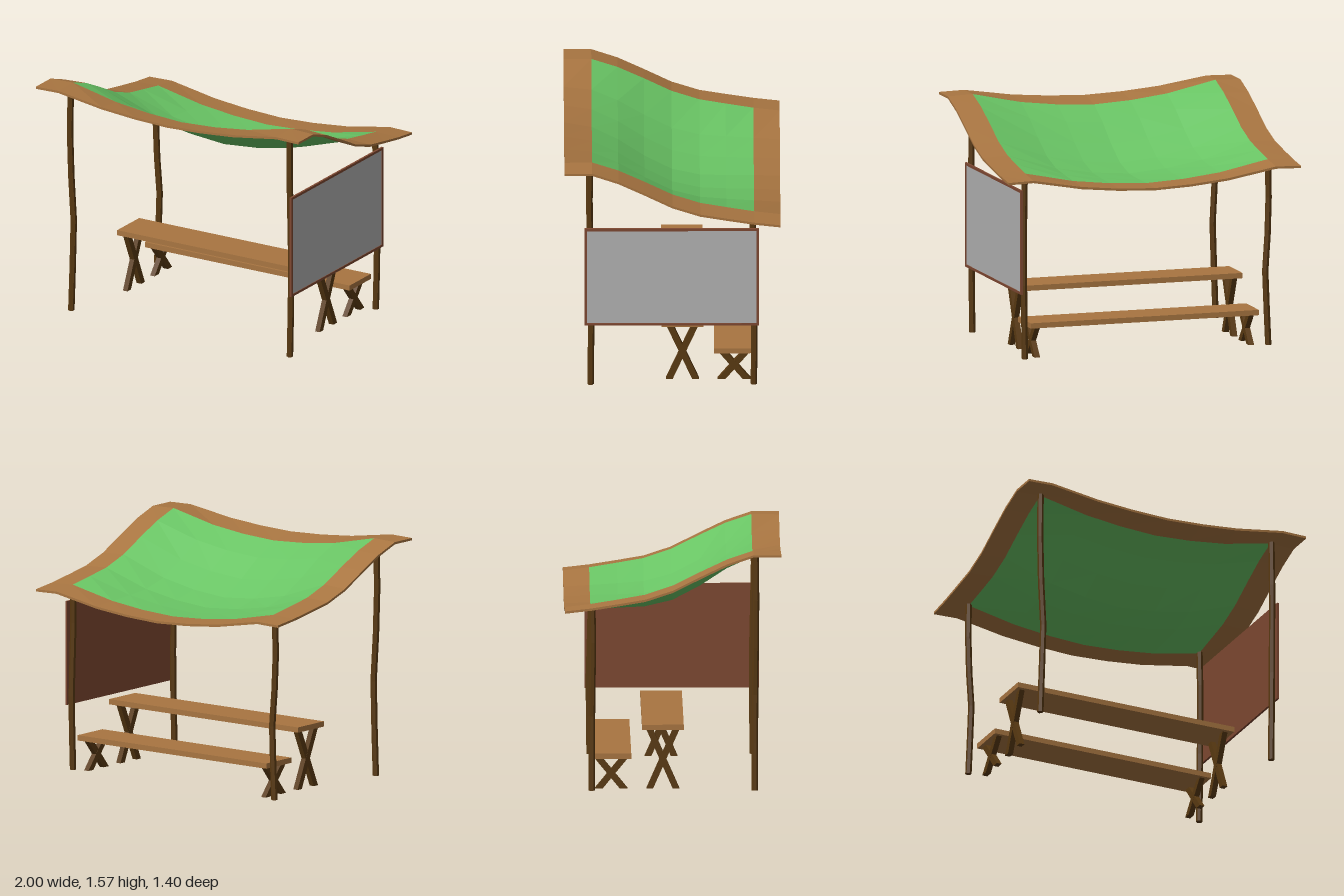
import * as THREE from 'three';

const mat = (name, color) => {
  const m = new THREE.MeshStandardMaterial({ color, flatShading: true });
  m.name = name;
  return m;
};

export function createModel() {
  const wood = mat('light wood', 0xa87541);
  const darkWood = mat('dark wood', 0x5a3a12);
  const cloth = mat('green cloth', 0x69c464);
  const frameWood = mat('red brown frame', 0x7e4831);
  const board = mat('grey board', 0xb2b2b2);

  const group = new THREE.Group();
  group.name = 'shelter';
  const add = (name, geometry, material, parent = group) => {
    const m = new THREE.Mesh(geometry, material);
    m.name = name;
    parent.add(m);
    return m;
  };
  const box = (name, material, [x0, x1], [y0, y1], [z0, z1], parent = group) => {
    const m = add(name, new THREE.BoxGeometry(x1 - x0, y1 - y0, z1 - z0), material, parent);
    m.position.set((x0 + x1) / 2, (y0 + y1) / 2, (z0 + z1) / 2);
    return m;
  };

  // Sagging canopy: side height and mid-span sag for each row, sag share for each column
  const rows = [ // z, side height, sag
    [-0.7, 1.2, 0.095], [-0.53, 1.22, 0.11], [-0.35, 1.25, 0.14], [-0.18, 1.28, 0.165],
    [0, 1.34, 0.185], [0.18, 1.43, 0.18], [0.35, 1.51, 0.145], [0.52, 1.567, 0.115], [0.7, 1.565, 0.08],
  ];
  const cols = [ // x, share of sag
    [-1, 0.05], [-0.83, 0], [-0.5, 0.62], [-0.25, 0.88], [0, 1],
    [0.25, 0.88], [0.5, 0.62], [0.83, 0], [1, 0.05],
  ];
  const thick = 0.015;
  const nx = cols.length - 1, nz = rows.length - 1;
  const point = (i, j, drop = 0) => [cols[i][0], rows[j][1] - rows[j][2] * cols[i][1] - drop, rows[j][0]];
  const quad = (out, a, b, c, d) => out.push(...a, ...b, ...c, ...a, ...c, ...d);
  const toGeometry = (positions) => {
    const g = new THREE.BufferGeometry();
    g.setAttribute('position', new THREE.Float32BufferAttribute(positions, 3));
    g.computeVertexNormals();
    return g;
  };
  const clothFaces = [], borderFaces = [];
  for (let i = 0; i < nx; i++) {
    for (let j = 0; j < nz; j++) {
      const edge = i === 0 || j === 0 || i === nx - 1 || j === nz - 1;
      const out = edge ? borderFaces : clothFaces;
      quad(out, point(i, j), point(i, j + 1), point(i + 1, j + 1), point(i + 1, j));
      quad(out, point(i, j, thick), point(i + 1, j, thick), point(i + 1, j + 1, thick), point(i, j + 1, thick));
    }
  }
  // Outer rim, walked around the perimeter
  const rim = (i0, j0, i1, j1) =>
    quad(borderFaces, point(i0, j0, thick), point(i1, j1, thick), point(i1, j1), point(i0, j0));
  for (let i = 0; i < nx; i++) {
    rim(i, nz, i + 1, nz);
    rim(i + 1, 0, i, 0);
  }
  for (let j = 0; j < nz; j++) {
    rim(nx, j + 1, nx, j);
    rim(0, j, 0, j + 1);
  }
  add('canopyCloth', toGeometry(clothFaces), cloth);
  add('canopyBorder', toGeometry(borderFaces), wood);

  // Crooked posts: sideways offsets at even steps from foot to top
  const post = (name, x, z, height, bends) => {
    const g = new THREE.CylinderGeometry(0.021, 0.021, height, 6, bends.length - 1);
    g.translate(0, height / 2, 0);
    const p = g.attributes.position;
    for (let k = 0; k < p.count; k++) {
      const [dx, dz] = bends[Math.round((p.getY(k) / height) * (bends.length - 1))];
      p.setX(k, p.getX(k) + dx);
      p.setZ(k, p.getZ(k) + dz);
    }
    g.computeVertexNormals();
    add(name, g, darkWood).position.set(x, 0, z);
  };
  const bent = [[-0.005, 0], [0.006, 0], [0.015, 0.002], [-0.002, 0.005], [-0.01, 0.008], [-0.005, 0.004]];
  const straight = [[0, 0], [0.005, -0.003], [0.008, -0.005], [0.006, 0.002], [0.003, 0.008], [0, 0.004]];
  post('frontRightPost', -0.83, 0.53, 1.555, bent);
  post('frontLeftPost', 0.83, 0.53, 1.555, straight);
  post('backRightPost', -0.83, -0.527, 1.21, bent);
  post('backLeftPost', 0.83, -0.527, 1.21, straight);

  // Side board with a raised frame, facing outwards
  const panel = new THREE.Group();
  panel.name = 'sideBoard';
  group.add(panel);
  const pz = [-0.56, 0.57], py = [0.428, 1.112], fw = 0.016;
  box('boardBack', frameWood, [0.853, 0.86], py, pz, panel);
  box('boardFace', board, [0.86, 0.863], [py[0] + fw, py[1] - fw], [pz[0] + fw, pz[1] - fw], panel);
  box('frameBottom', frameWood, [0.86, 0.868], [py[0], py[0] + fw], pz, panel);
  box('frameTop', frameWood, [0.86, 0.868], [py[1] - fw, py[1]], pz, panel);
  box('frameBackSide', frameWood, [0.86, 0.868], [py[0] + fw, py[1] - fw], [pz[0], pz[0] + fw], panel);
  box('frameFrontSide', frameWood, [0.86, 0.868], [py[0] + fw, py[1] - fw], [pz[1] - fw, pz[1]], panel);

  // Table and bench: plank on crossed legs
  const trestle = (name, zMid, halfDepth, top, legWidth) => {
    const set = new THREE.Group();
    set.name = name;
    group.add(set);
    const under = top - 0.035, reach = 0.107, w = legWidth;
    box(name + 'Top', wood, [-0.77, 0.79], [under, top], [zMid - halfDepth, zMid + halfDepth], set);
    for (const x of [-0.727, 0.737]) {
      for (const s of [-1, 1]) {
        // Slanted bar with level ends
        const bar = new THREE.Shape([
          [-s * reach, 0], [-s * (reach - w), 0], [s * reach, under], [s * (reach - w), under],
        ].map(([u, v]) => new THREE.Vector2(u, v)));
        const depth = s > 0 ? 0.036 : 0.034;
        const g = new THREE.ExtrudeGeometry(bar, { depth, bevelEnabled: false });
        g.translate(0, 0, -depth / 2);
        g.rotateY(-Math.PI / 2);
        add(name + 'Leg', g, darkWood, set).position.set(x, 0, zMid);
      }
    }
  };
  trestle('table', -0.065, 0.135, 0.42, 0.044);
  trestle('bench', -0.4, 0.13, 0.232, 0.052);

  return group;
}
